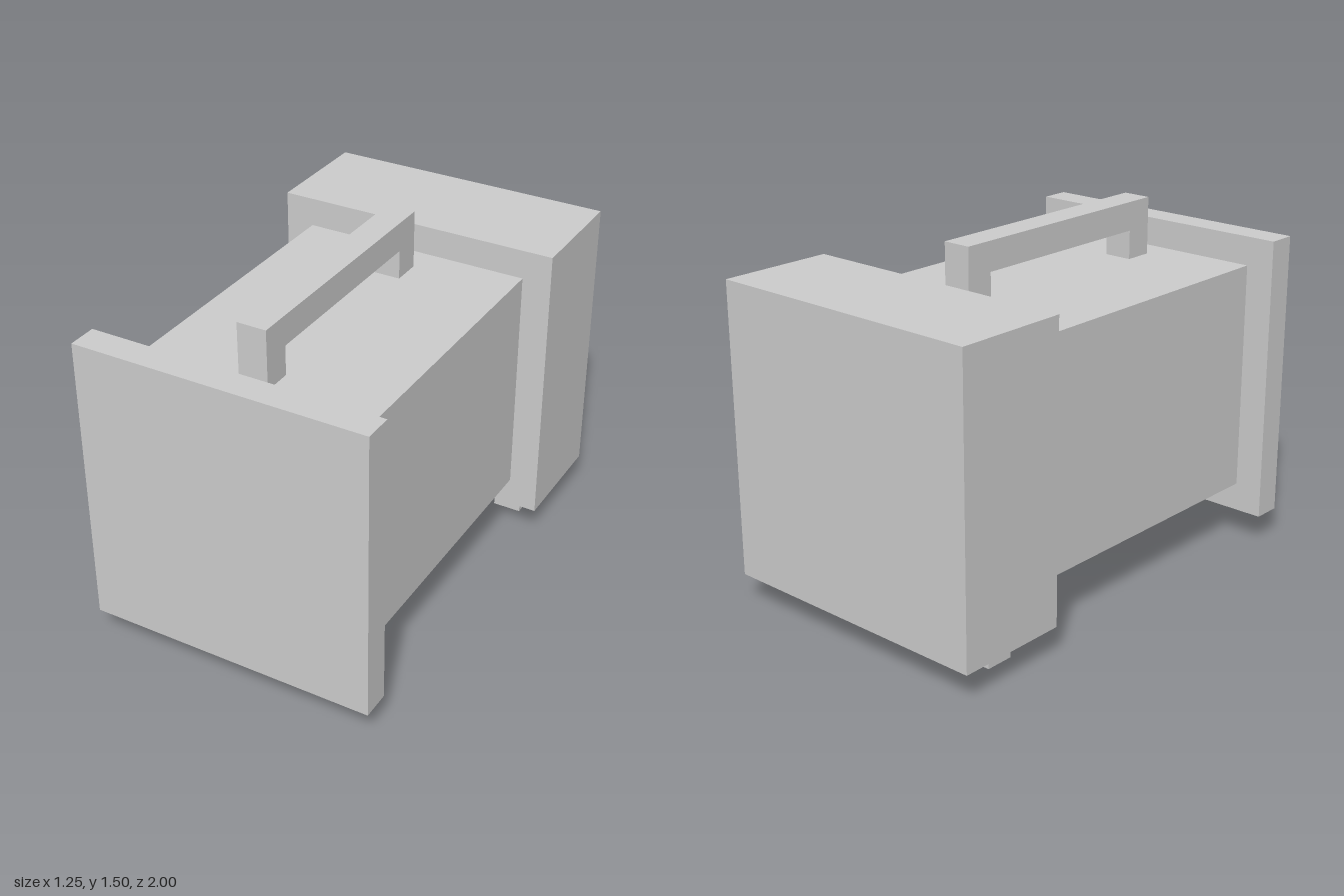
import * as THREE from 'three';

export function createModel() {
  const model = new THREE.Group();
  const material = new THREE.MeshStandardMaterial({ color: 0xcccccc, flatShading: true });

  // Box given by its lower and upper limits on each axis
  const addBox = (name, [x0, x1], [y0, y1], [z0, z1]) => {
    const mesh = new THREE.Mesh(new THREE.BoxGeometry(x1 - x0, y1 - y0, z1 - z0), material);
    mesh.position.set((x0 + x1) / 2, (y0 + y1) / 2, (z0 + z1) / 2);
    mesh.name = name;
    model.add(mesh);
  };

  // Main housing between the front plate and the rear block
  addBox('body', [-0.5, 0.5], [0.25, 1.25], [-0.5, 0.875]);
  addBox('frontPlate', [-0.625, 0.625], [0.125, 1.375], [0.875, 1]);
  addBox('rearBlock', [-0.625, 0.625], [0.125, 1.375], [-1, -0.5]);

  // Unevenly spaced pins under the rear block
  [-0.5, -0.125, 0.125, 0.375].forEach((x, i) =>
    addBox(`pin${i + 1}`, [x, x + 0.125], [0, 0.125], [-0.75, -0.625]));

  // Carrying handle: a bridge outline (z, y) extruded across x
  const outline = new THREE.Shape([
    [-0.375, 1.25], [-0.25, 1.25], [-0.25, 1.375], [0.625, 1.375],
    [0.625, 1.25], [0.75, 1.25], [0.75, 1.5], [-0.375, 1.5],
  ].map(([z, y]) => new THREE.Vector2(-z, y)));
  const handleGeometry = new THREE.ExtrudeGeometry(outline, { depth: 0.125, bevelEnabled: false });
  handleGeometry.translate(0, 0, -0.0625).rotateY(Math.PI / 2);
  const handle = new THREE.Mesh(handleGeometry, material);
  handle.name = 'handle';
  model.add(handle);

  return model;
}
